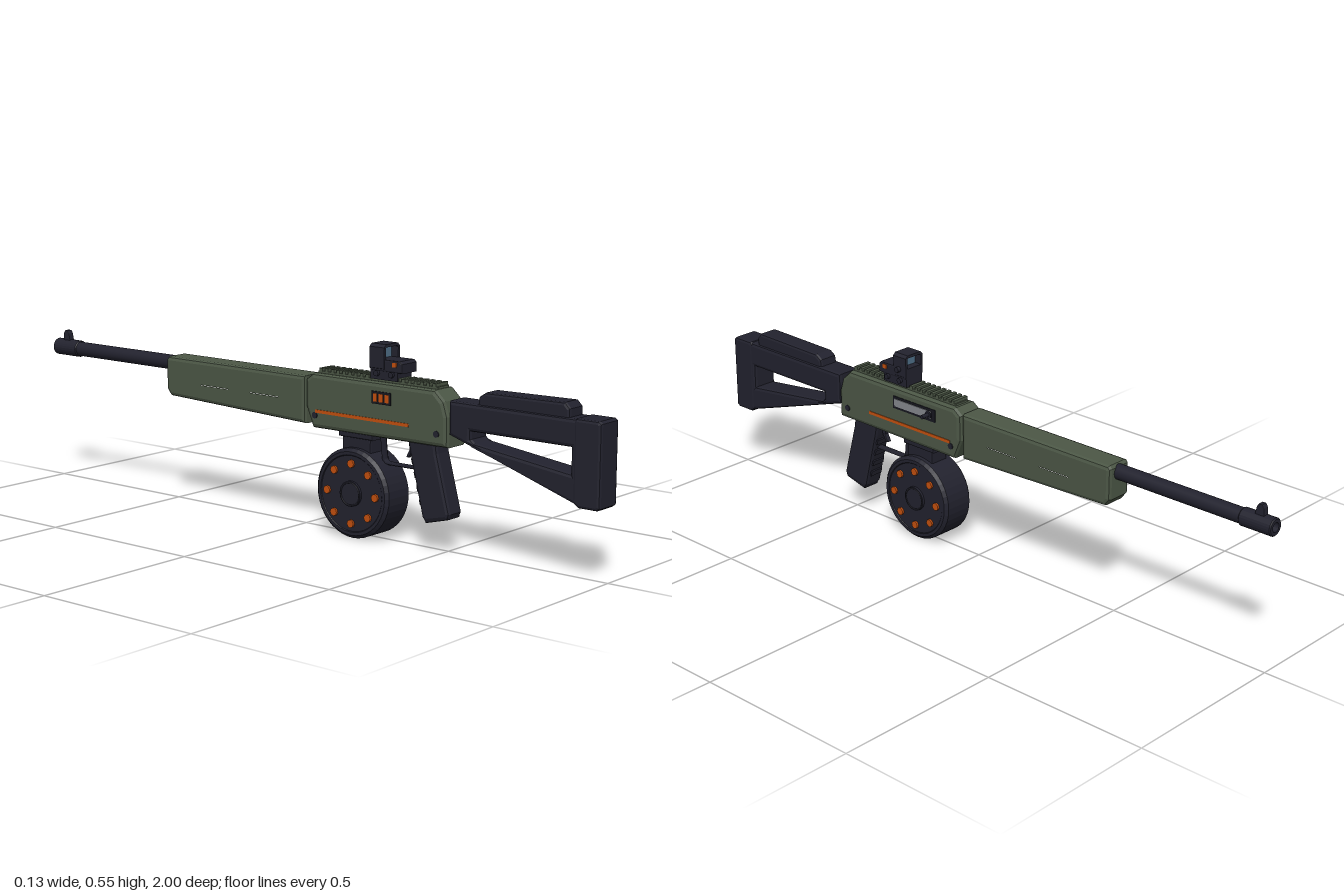
import * as THREE from 'three';

const CX = -0.009; // centre plane of the body

const mat = (name, color, double) => {
  const m = new THREE.MeshStandardMaterial({ color });
  m.name = name;
  if (double) m.side = THREE.DoubleSide;
  return m;
};

export function createModel() {
  const root = new THREE.Group();
  root.name = 'carbine';
  const green = mat('olive green', 0x4c5746);
  const dark = mat('blue black', 0x22222e, true);
  const black = mat('near black', 0x17171f);
  const orange = mat('orange', 0xc4500f);
  const steel = mat('steel grey', 0x85888e);
  const glass = mat('lens blue', 0x50708a, true);

  const add = (name, geo, material, x = 0, y = 0, z = 0) => {
    const mesh = new THREE.Mesh(geo, material);
    mesh.name = name;
    mesh.position.set(x, y, z);
    root.add(mesh);
    return mesh;
  };
  const box = (name, m, w, h, d, x, y, z) => add(name, new THREE.BoxGeometry(w, h, d), m, x, y, z);
  const cylX = (name, m, r, len, x, y, z, seg = 16) =>
    add(name, new THREE.CylinderGeometry(r, r, len, seg).rotateZ(Math.PI / 2), m, x, y, z);

  // Side profile given as [z, y] points, extruded across x with chamfered edges
  const toPath = (path, pts) => path.setFromPoints(pts.map(([z, y]) => new THREE.Vector2(-z, y)));
  const slab = (name, m, pts, width, bevel, holes = []) => {
    const shape = toPath(new THREE.Shape(), pts);
    holes.forEach((h) => shape.holes.push(toPath(new THREE.Path(), h)));
    const depth = width - 2 * bevel;
    const geo = new THREE.ExtrudeGeometry(shape, {
      depth, bevelEnabled: true, bevelSize: bevel, bevelThickness: bevel,
      bevelOffset: -bevel, bevelSegments: 2, steps: 1,
    });
    geo.translate(0, 0, -depth / 2).rotateY(Math.PI / 2);
    return add(name, geo, m, CX);
  };

  // Receiver
  slab('receiver', green, [[0.528, 0.292], [0.528, 0.375], [0.515, 0.415], [0.485, 0.443], [0.065, 0.443],
    [0.04, 0.425], [0.04, 0.35], [0.066, 0.29]], 0.088, 0.012);

  // Handguard with two through slots
  const slot = (z0, z1, y0, y1) => {
    const r = (y1 - y0) / 2, yc = (y0 + y1) / 2, pts = [];
    for (let i = 0; i <= 6; i++) {
      const a = Math.PI / 2 + (Math.PI * i) / 6;
      pts.push([z0 + r + r * Math.cos(a), yc + r * Math.sin(a)]);
    }
    for (let i = 0; i <= 6; i++) {
      const a = -Math.PI / 2 + (Math.PI * i) / 6;
      pts.push([z1 - r + r * Math.cos(a), yc + r * Math.sin(a)]);
    }
    return pts;
  };
  slab('handguard', green, [[0.036, 0.297], [0.036, 0.432], [-0.49, 0.432], [-0.498, 0.424], [-0.498, 0.336],
    [-0.482, 0.316]], 0.082, 0.011, [slot(-0.18, -0.05, 0.35, 0.373), slot(-0.37, -0.24, 0.35, 0.373)]);

  // Barrel and hollow muzzle
  add('barrel', new THREE.CylinderGeometry(0.0215, 0.0215, 0.44, 24).rotateX(Math.PI / 2), dark, CX, 0.408, -0.69);
  const muzzlePts = [[0, 0.05], [0.013, 0.05], [0.013, 0.1], [0.022, 0.1], [0.025, 0.097], [0.025, 0.003], [0.022, 0]]
    .map(([r, y]) => new THREE.Vector2(r, y));
  add('muzzle', new THREE.LatheGeometry(muzzlePts, 24).rotateX(-Math.PI / 2), dark, CX, 0.408, -0.9).geometry = 
    new THREE.LatheGeometry(muzzlePts, 24).rotateX(-Math.PI / 2).toNonIndexed();
  root.getObjectByName('muzzle').geometry.computeVertexNormals();
  slab('frontSight', dark, [[-0.94, 0.428], [-0.945, 0.452], [-0.951, 0.461], [-0.962, 0.461], [-0.967, 0.452],
    [-0.97, 0.428]], 0.018, 0.002);

  // Skeleton stock, cheek rest and butt pad
  slab('stock', dark, [[0.985, 0.195], [0.985, 0.42], [0.53, 0.42], [0.53, 0.328], [0.94, 0.195]], 0.08, 0.01,
    [[[0.91, 0.346], [0.91, 0.278], [0.61, 0.316], [0.6, 0.325], [0.6, 0.346]]]);
  slab('buttPad', dark, [[1, 0.2], [1, 0.416], [0.992, 0.422], [0.925, 0.422], [0.918, 0.415], [0.918, 0.205],
    [0.935, 0.193], [0.99, 0.193]], 0.083, 0.008);
  slab('cheekRest', dark, [[0.9, 0.41], [0.9, 0.442], [0.885, 0.457], [0.64, 0.453], [0.62, 0.44], [0.615, 0.41]],
    0.064, 0.008);

  // Pistol grip with finger ridges
  slab('grip', dark, [[0.48, 0.31], [0.485, 0.27], [0.528, 0.11], [0.522, 0.095], [0.449, 0.078], [0.438, 0.09],
    [0.395, 0.26], [0.385, 0.31]], 0.062, 0.01);
  slab('gripCap', black, [[0.524, 0.108], [0.522, 0.095], [0.449, 0.076], [0.444, 0.09]], 0.056, 0.003);
  for (let i = 0; i < 4; i++) {
    const y = 0.13 + i * 0.036;
    box('fingerRidge', dark, 0.042, 0.016, 0.014, CX, y, 0.43 - i * 0.0092).rotation.x = -0.25;
  }

  // Trigger and guard
  const guard = new THREE.CatmullRomCurve3([[0.296, 0.282], [0.225, 0.29], [0.216, 0.305], [0.216, 0.4], [0.218, 0.42]]
    .map(([y, z]) => new THREE.Vector3(0, y, z)), false, 'catmullrom', 0.2);
  add('triggerGuard', new THREE.TubeGeometry(guard, 24, 0.0045, 6).scale(3, 1, 1), dark, CX);
  slab('trigger', dark, [[0.39, 0.295], [0.372, 0.295], [0.377, 0.265], [0.366, 0.243], [0.373, 0.241], [0.388, 0.262]],
    0.014, 0.002);

  // Drum magazine
  const DY = 0.126, DZ = 0.212, DX = -0.009;
  slab('magazineNeck', dark, [[0.262, 0.21], [0.262, 0.305], [0.163, 0.305], [0.163, 0.21]], 0.062, 0.005);
  slab('magazineCollar', dark, [[0.272, 0.278], [0.272, 0.298], [0.153, 0.298], [0.153, 0.278]], 0.072, 0.004);
  const drumGeo = new THREE.LatheGeometry([[0, -0.05], [0.106, -0.05], [0.108, -0.052], [0.117, -0.052], [0.126, -0.043],
    [0.126, 0.043], [0.117, 0.052], [0.108, 0.052], [0.106, 0.05], [0, 0.05]]
    .map(([r, y]) => new THREE.Vector2(r, y)), 40).rotateZ(Math.PI / 2).toNonIndexed();
  drumGeo.computeVertexNormals();
  add('drum', drumGeo, dark, DX, DY, DZ);
  for (const s of [-1, 1]) {
    cylX('drumHub', dark, 0.036, 0.012, DX + s * 0.051, DY, DZ, 24);
    add('hubRing', new THREE.TorusGeometry(0.032, 0.003, 6, 28).rotateY(Math.PI / 2), black, DX + s * 0.0555, DY, DZ);
    for (let i = 0; i < 8; i++) {
      const a = (i * Math.PI) / 4;
      cylX('drumStud', orange, 0.0115, 0.01, DX + s * 0.051, DY + 0.084 * Math.sin(a), DZ + 0.084 * Math.cos(a), 8);
    }
  }

  // Side stripes and pins
  for (const s of [-1, 1]) {
    box('sideStripe', orange, 0.004, 0.009, 0.325, CX + s * 0.044, 0.339, 0.24);
    for (const z of [0.494, 0.076]) cylX('receiverPin', dark, 0.009, 0.006, CX + s * 0.0435, 0.327, z);
  }

  // Ejection port, bolt and charging handle
  box('ejectionPort', black, 0.006, 0.038, 0.168, CX + 0.0425, 0.4, 0.218);
  box('bolt', steel, 0.006, 0.023, 0.145, CX + 0.0445, 0.4, 0.223);
  cylX('chargingHandle', dark, 0.006, 0.03, 0.05, 0.4, 0.16, 12);
  cylX('handleCollar', dark, 0.012, 0.008, 0.036, 0.4, 0.16, 12);

  // Marker panel on the other side
  box('markerPanel', black, 0.008, 0.034, 0.065, CX - 0.043, 0.402, 0.31);
  for (const z of [0.29, 0.31, 0.33]) box('markerBar', orange, 0.004, 0.022, 0.013, CX - 0.0465, 0.402, z);

  // Top rail
  box('railBase', green, 0.05, 0.008, 0.41, CX, 0.445, 0.278);
  for (let i = 0; i < 20; i++) box('railTooth', green, 0.054, 0.009, 0.011, CX, 0.453, 0.083 + i * 0.0205);

  // Reflex sight: mount, emitter housing, open hood and lens
  box('sightMount', dark, 0.062, 0.032, 0.092, CX, 0.465, 0.307);
  for (const z of [0.285, 0.335]) cylX('mountScrew', dark, 0.008, 0.078, CX, 0.466, z, 10);
  slab('emitterHousing', dark, [[0.37, 0.472], [0.37, 0.498], [0.362, 0.505], [0.26, 0.505], [0.26, 0.472]], 0.066, 0.004);
  cylX('sightKnob', dark, 0.008, 0.016, 0.028, 0.5, 0.288, 12);
  for (const s of [-1, 1]) box('sightButton', orange, 0.004, 0.012, 0.014, CX + s * 0.0335, 0.494, 0.345);

  const rect = (path, w, y0, y1, c) => {
    path.moveTo(-w + c, y0).lineTo(w - c, y0).lineTo(w, y0 + c).lineTo(w, y1 - c);
    path.lineTo(w - c, y1).lineTo(-w + c, y1).lineTo(-w, y1 - c).lineTo(-w, y0 + c).closePath();
    return path;
  };
  const hood = rect(new THREE.Shape(), 0.034, 0.472, 0.545, 0.008);
  hood.holes.push(rect(new THREE.Path(), 0.027, 0.497, 0.537, 0.003));
  add('sightHood', new THREE.ExtrudeGeometry(hood, { depth: 0.05, bevelEnabled: false }), dark, CX, 0, 0.26);
  box('sightLens', glass, 0.054, 0.04, 0.004, CX, 0.517, 0.285);

  return root;
}
